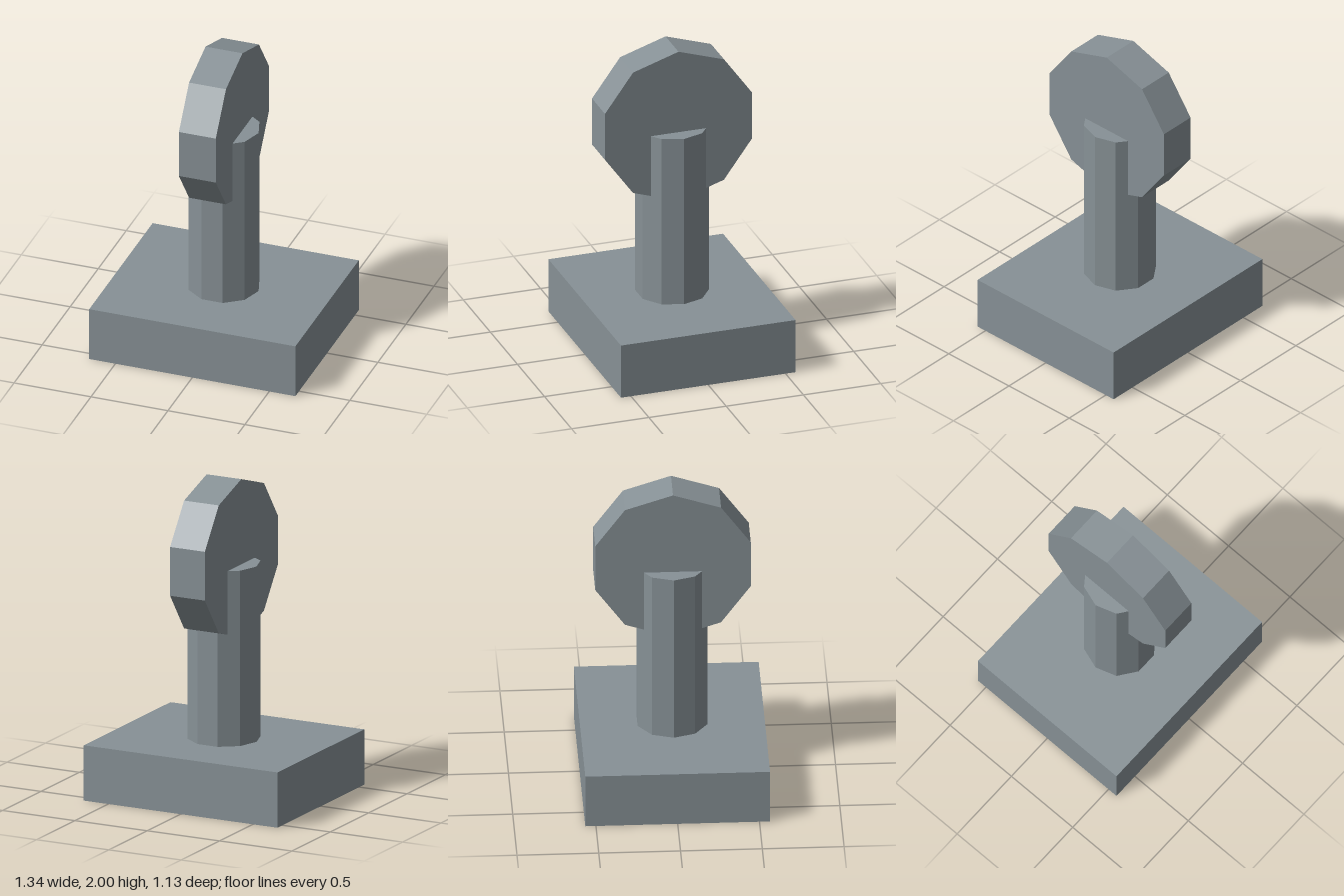
import * as THREE from 'three';

export function createModel() {
  const model = new THREE.Group();
  const greyMetal = new THREE.MeshStandardMaterial({ color: 0x879196 });

  function addPart(name, geometry, y) {
    // split the vertices so every facet stays flat
    const flat = geometry.toNonIndexed();
    flat.computeVertexNormals();
    const mesh = new THREE.Mesh(flat, greyMetal);
    mesh.name = name;
    mesh.position.y = y;
    model.add(mesh);
  }

  // ten-sided prism along y with a corner on +x
  const decagon = (radius, length) =>
    new THREE.CylinderGeometry(radius, radius, length, 10, 1, false, Math.PI / 2);

  // slab base
  addPart('base', new THREE.BoxGeometry(1.34, 0.35, 1.13), 0.175);

  // upright post
  addPart('post', decagon(0.225, 1.11), 0.905);

  // upright disc, its axis along x and a corner at the top
  addPart('disc', decagon(0.5, 0.24).rotateZ(Math.PI / 2), 1.5);

  return model;
}
